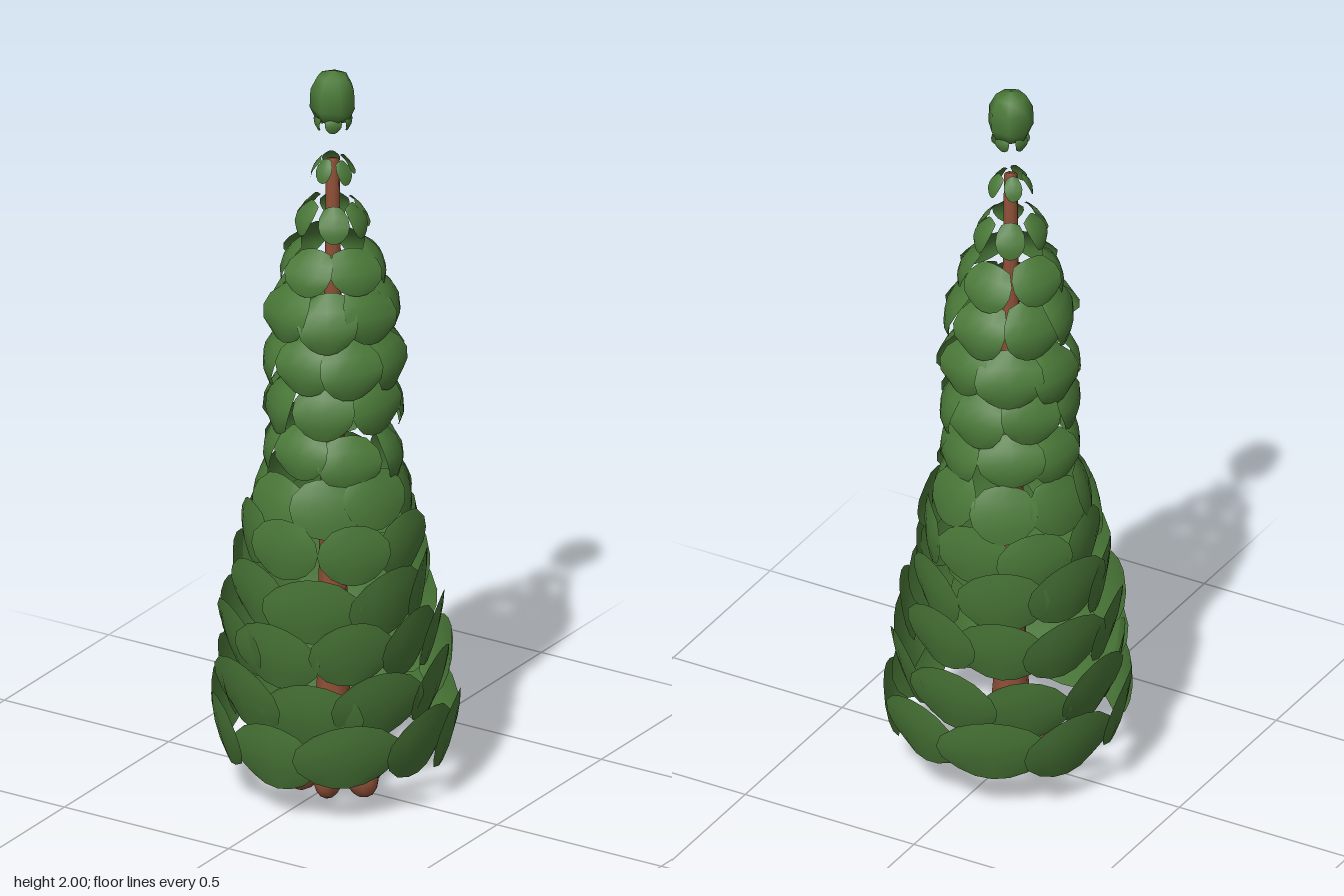
import * as THREE from 'three';
import { mergeGeometries } from 'three/addons/utils/BufferGeometryUtils.js';

let seed = 7;
function rand(a, b) {
  seed = (seed * 16807) % 2147483647;
  return a + (b - a) * (seed / 2147483647);
}

// One leaf plate: a gently cupped grid facing outwards, with its radius set at top, middle and bottom
function leafGeometry({ angle, half, top, bottom, rTop, rMid, rBottom }) {
  const cols = 4, rows = 4, pos = [], index = [];
  const widths = [0.62, 0.93, 1, 0.9, 0.6];
  const skew = rand(-0.12, 0.12), yaw = rand(-0.12, 0.12);
  const height = top - bottom;
  const sin = Math.sin(angle), cos = Math.cos(angle);
  for (let j = 0; j <= rows; j++) {
    const v = j / rows;
    // quadratic through the three radii
    const r = rTop * (1 - v) * (1 - 2 * v) + rMid * 4 * v * (1 - v) + rBottom * v * (2 * v - 1);
    for (let i = 0; i <= cols; i++) {
      const u = (i / cols) * 2 - 1;
      const t = half * (widths[j] * u + skew * (v - 0.5));
      const out = r - 0.38 * t * t / rMid + yaw * t;
      const y = top - height * v + height * (0.22 * u * u * (v - 0.5) + skew * u * 0.4);
      pos.push(sin * out + cos * t, y, cos * out - sin * t);
    }
  }
  for (let j = 0; j < rows; j++) for (let i = 0; i < cols; i++) {
    const a = j * (cols + 1) + i, b = a + cols + 1;
    index.push(a, b, a + 1, b, b + 1, a + 1);
  }
  const g = new THREE.BufferGeometry();
  g.setAttribute('position', new THREE.Float32BufferAttribute(pos, 3));
  g.setIndex(index);
  g.computeVertexNormals();
  return g;
}

export function createModel() {
  const tree = new THREE.Group();
  const green = new THREE.MeshStandardMaterial({ color: 0x4a7838, side: THREE.DoubleSide });
  green.name = 'leafGreen';
  const brown = new THREE.MeshStandardMaterial({ color: 0x8f5038 });
  brown.name = 'barkBrown';

  const add = (name, geometry, material, parent = tree) => {
    const mesh = new THREE.Mesh(geometry, material);
    mesh.name = name;
    parent.add(mesh);
    return mesh;
  };

  // Slim tapering trunk
  const trunkProfile = [[0, 0.03], [0.06, 0.03], [0.055, 0.15], [0.042, 0.3], [0.034, 0.8],
    [0.026, 1.2], [0.02, 1.55], [0.018, 1.75], [0, 1.755]].map(p => new THREE.Vector2(...p));
  add('trunk', new THREE.LatheGeometry(trunkProfile, 8), brown);

  // Rounded roots bulging round the foot
  const roots = new THREE.Group();
  roots.name = 'roots';
  tree.add(roots);
  for (let i = 0; i < 6; i++) {
    const a = (i / 6) * Math.PI * 2 + 0.3;
    const reach = rand(0.072, 0.095);
    const root = add('root', new THREE.SphereGeometry(1, 10, 8), brown, roots);
    root.scale.set(0.04, 0.06, 0.05);
    root.position.set(Math.sin(a) * reach + 0.014, 0.06, Math.cos(a) * reach + 0.008);
    root.rotation.set(-0.35, a, 0, 'YXZ');
  }

  // Leaf tiers: top, bottom, radius at top, middle and bottom, leaf count, overlap.
  // Upper leaves dome over, lower ones flare outwards at the top.
  const tiers = [
    [1.76, 1.70, 0.03, 0.052, 0.058, 5, 0.7],
    [1.645, 1.555, 0.055, 0.09, 0.095, 6, 0.85],
    [1.535, 1.42, 0.085, 0.135, 0.14, 6, 1.0],
    [1.425, 1.27, 0.11, 0.168, 0.158, 7, 1.08],
    [1.295, 1.14, 0.12, 0.174, 0.162, 7, 1.08],
    [1.175, 1.02, 0.125, 0.176, 0.166, 7, 1.08],
    [1.04, 0.90, 0.13, 0.176, 0.17, 7, 1.08],
    [0.925, 0.77, 0.165, 0.198, 0.205, 8, 1.15],
    [0.81, 0.64, 0.21, 0.22, 0.208, 8, 1.2],
    [0.69, 0.50, 0.25, 0.246, 0.225, 8, 1.25],
    [0.55, 0.36, 0.28, 0.27, 0.242, 9, 1.3],
    [0.42, 0.22, 0.303, 0.29, 0.255, 9, 1.3],
    [0.285, 0.095, 0.31, 0.302, 0.272, 9, 1.3],
  ];
  const foliage = new THREE.Group();
  foliage.name = 'foliage';
  tree.add(foliage);
  tiers.forEach(([top, bottom, rTop, rMid, rBottom, count, overlap], t) => {
    const leaves = [];
    for (let i = 0; i < count; i++) {
      const k = rand(0.96, 1.04), dy = rand(-0.1, 0.1) * (top - bottom);
      leaves.push(leafGeometry({
        angle: ((i + (t % 2) * 0.5) / count) * Math.PI * 2 + rand(-0.09, 0.09),
        half: rMid * (Math.PI / count) * overlap * rand(0.92, 1.08),
        top: top + dy, bottom: bottom + dy,
        rTop: rTop * k, rMid: rMid * k, rBottom: rBottom * k,
      }));
    }
    add('leafTier', mergeGeometries(leaves), green, foliage);
  });

  // Bud at the tip, with small leaves hanging from it
  const budProfile = [[0, 1.875], [0.045, 1.868], [0.06, 1.9], [0.058, 1.95],
    [0.04, 1.985], [0, 2.0]].map(p => new THREE.Vector2(...p));
  add('topBud', new THREE.LatheGeometry(budProfile, 7), green, foliage);
  const small = [];
  for (let i = 0; i < 5; i++) {
    small.push(leafGeometry({
      angle: (i / 5) * Math.PI * 2 + 0.6, half: 0.022, top: 1.89, bottom: 1.838,
      rTop: 0.035, rMid: 0.048, rBottom: 0.04,
    }));
  }
  add('budLeaves', mergeGeometries(small), green, foliage);

  return tree;
}
